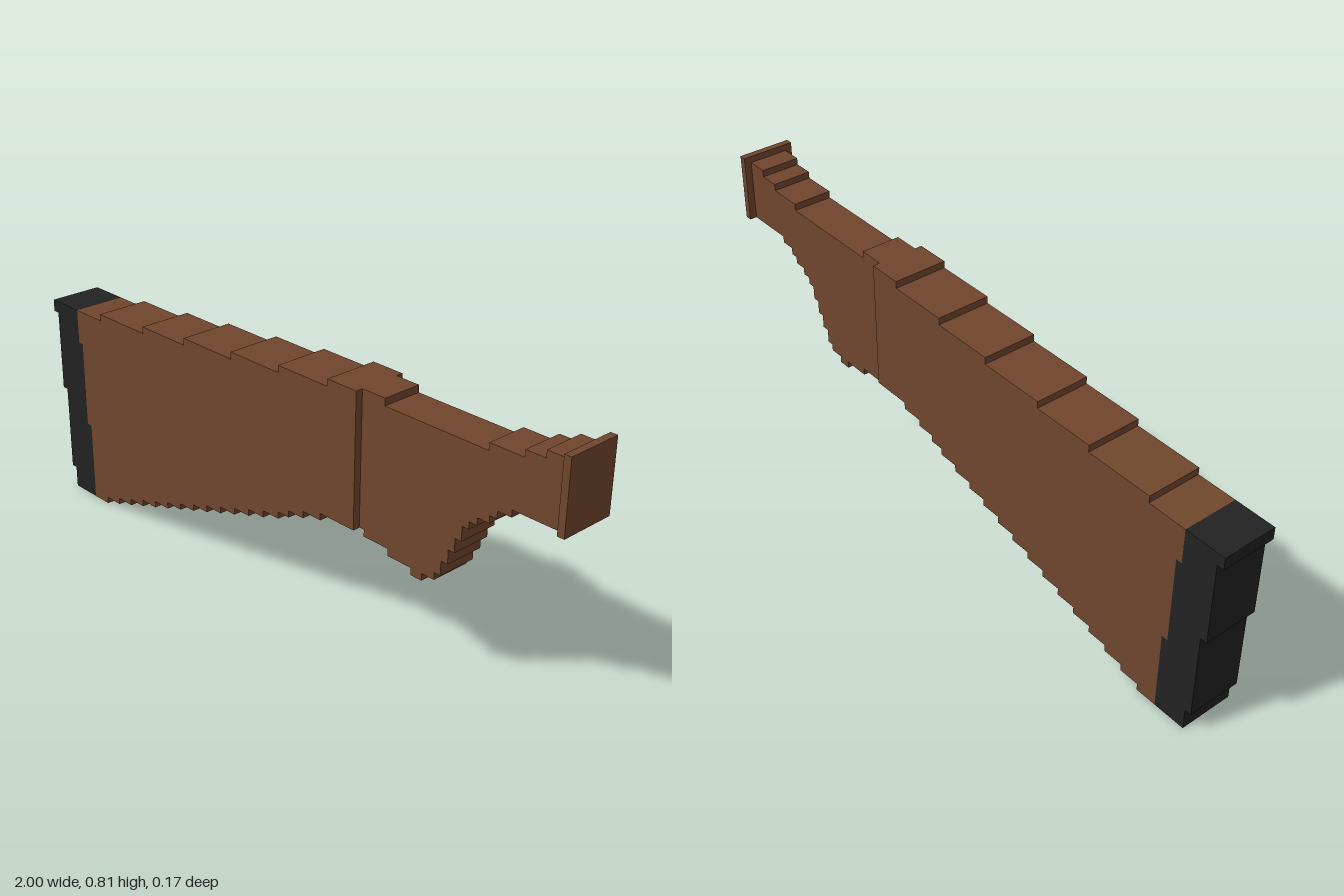
import * as THREE from 'three';

const wood = new THREE.MeshStandardMaterial({ color: 0x70462d });
wood.name = 'brown wood';
const rubber = new THREE.MeshStandardMaterial({ color: 0x222222 });
rubber.name = 'black rubber';

const STEP = 0.0209; // height of one stair

// Staircase outline: runs of [endX, y] starting at startX
function stairs(startX, runs) {
  const pts = [];
  let x = startX;
  for (const [endX, y] of runs) {
    pts.push(new THREE.Vector2(x, y), new THREE.Vector2(endX, y));
    x = endX;
  }
  return pts;
}

// Flat slab of an outline, centred on z = 0
function slab(name, points, depth, material) {
  const geometry = new THREE.ExtrudeGeometry(new THREE.Shape(points), { depth, bevelEnabled: false });
  geometry.translate(0, 0, -depth / 2);
  const mesh = new THREE.Mesh(geometry, material);
  mesh.name = name;
  return mesh;
}

export function createModel() {
  const group = new THREE.Group();
  group.name = 'stock';

  // Edge shared by the butt pad and the wooden body, bottom to top
  const seam = [[-0.838, 0], [-0.838, 0.25], [-0.857, 0.25], [-0.857, 0.52], [-0.875, 0.52], [-0.875, 0.626]]
    .map(([x, y]) => new THREE.Vector2(x, y));

  // Black butt pad with a stepped back edge
  const back = [[-1, 0.626], [-1, 0.589], [-0.979, 0.589], [-0.979, 0.337], [-0.959, 0.337], [-0.959, 0.067],
    [-0.939, 0.067], [-0.939, 0]].map(([x, y]) => new THREE.Vector2(x, y));
  group.add(slab('buttPad', [...seam, ...back], 0.166, rubber));

  // Thick body: even stairs along the underside, long ones along the top
  const underRuns = [];
  for (let i = 0; i < 14; i++) underRuns.push([-0.772 + i * 0.0625, i * STEP]);
  underRuns.push([0.083, 14 * STEP], [0.14, 15 * STEP], [0.208, 16 * STEP], [0.333, 17 * STEP]);
  const bodyTop = stairs(-0.875, [[-0.755, 0.626], [-0.545, 0.647], [-0.355, 0.668], [-0.15, 0.689],
    [0.042, 0.71], [0.229, 0.731], [0.333, 0.752]]);
  group.add(slab('body', [...stairs(-0.838, underRuns), ...bodyTop.reverse(), ...seam.slice(1, -1).reverse()],
    0.166, wood));

  // Thinner grip and wrist
  const gripUnder = stairs(0.333, [[0.35, 0.356], [0.437, 0.336], [0.52, 0.315], [0.558, 0.294], [0.6, 0.315],
    [0.62, 0.336], [0.642, 0.378], [0.662, 0.419], [0.682, 0.46], [0.703, 0.502], [0.728, 0.523],
    [0.765, 0.544], [0.787, 0.565], [0.83, 0.586], [0.979, 0.606]]);
  const gripTop = stairs(0.333, [[0.412, 0.752], [0.75, 0.731], [0.855, 0.752], [0.915, 0.772], [0.979, 0.793]]);
  group.add(slab('grip', [...gripUnder, ...gripTop.reverse()], 0.122, wood));

  // Mounting plate at the end
  const plate = new THREE.Mesh(new THREE.BoxGeometry(0.021, 0.207, 0.166), wood);
  plate.name = 'endPlate';
  plate.position.set(0.9895, 0.7095, 0);
  group.add(plate);

  return group;
}
